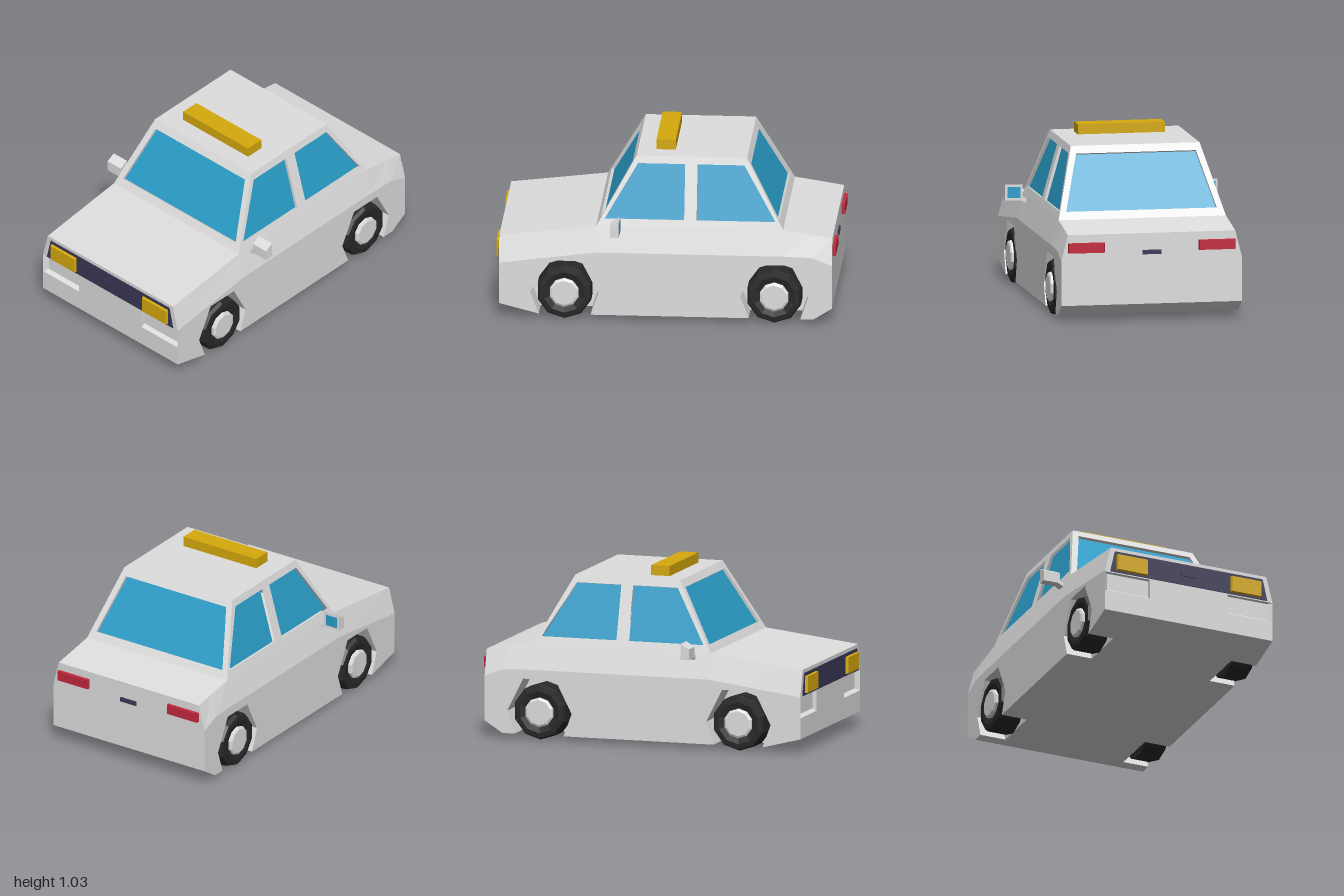
import * as THREE from 'three';

const mat = (name, color) => {
  const m = new THREE.MeshStandardMaterial({ color });
  m.name = name;
  return m;
};

export function createModel() {
  const car = new THREE.Group();
  car.name = 'car';
  const paint = mat('bodyPaint', 0xdedede);
  const glass = mat('glass', 0x2a9dc8);
  const yellow = mat('yellowLamp', 0xd6aa0d);
  const red = mat('redLamp', 0xc2283c);
  const navy = mat('darkTrim', 0x3a3756);
  const rubber = mat('tyreRubber', 0x282828);

  const add = (name, geo, material, parent = car) => {
    const g = geo.index ? geo.toNonIndexed() : geo;
    g.computeVertexNormals(); // faceted look
    const m = new THREE.Mesh(g, material);
    m.name = name;
    parent.add(m);
    return m;
  };
  const shapeOf = (pts) => new THREE.Shape(pts.map((p) => new THREE.Vector2(p[0], p[1])));
  const extrude = (shape, depth) => new THREE.ExtrudeGeometry(shape, { depth, bevelEnabled: false });
  // Extrudes a (z, y) profile from x0 to x1
  const sideExtrude = (pts, x0, x1) =>
    extrude(shapeOf(pts), x1 - x0).rotateY(-Math.PI / 2).translate(x1, 0, 0);
  // Box by its limits, front or back end optionally tapered
  const box = (x0, x1, y0, y1, z0, z1, taper = 1, end = 1) => {
    const g = new THREE.BoxGeometry(x1 - x0, y1 - y0, z1 - z0);
    const p = g.attributes.position;
    for (let i = 0; i < p.count; i++) {
      if (p.getZ(i) * end > 0) p.setXY(i, p.getX(i) * taper, p.getY(i) * taper);
    }
    return g.translate((x0 + x1) / 2, (y0 + y1) / 2, (z0 + z1) / 2);
  };
  const quads = (list) => {
    const v = [];
    for (const [a, b, c, d] of list) v.push(...a, ...b, ...c, ...a, ...c, ...d);
    const g = new THREE.BufferGeometry();
    g.setAttribute('position', new THREE.Float32BufferAttribute(v, 3));
    return g;
  };

  // Lower body: full-length core plus side slabs with wheel arches
  const axles = [0.595, -0.64];
  const arch = (c) => [[c + 0.15, 0.03], [c + 0.2, 0.165], [c + 0.1, 0.36],
    [c - 0.1, 0.36], [c - 0.2, 0.165], [c - 0.155, 0.03]];
  const nose = [[0.955, 0.343], [0.955, 0.23], [0.98, 0.215], [0.98, 0.09], [0.745, 0.03]];
  const tail = [[-0.87, 0.03], [-0.98, 0.1], [-0.98, 0.365], [-0.86, 0.41], [-0.69, 0.415], [0.41, 0.415]];
  add('lowerBodyCore', sideExtrude([...nose, ...tail], -0.38, 0.38), paint);
  const sideProfile = [...nose.slice(0, 4), ...arch(axles[0]), ...arch(axles[1]), ...tail];
  add('leftLowerSide', sideExtrude(sideProfile, 0.38, 0.54), paint);
  add('rightLowerSide', sideExtrude(sideProfile, -0.54, -0.38), paint);

  // Upper body: shoulder line lofted to the narrower belt line
  const sections = [[0.98, 0.34, 0.497], [0.41, 0.415, 0.565], [-0.69, 0.415, 0.565],
    [-0.86, 0.41, 0.539], [-0.98, 0.365, 0.52]];
  const ring = ([z, lo, hi]) => [[-0.54, lo, z], [0.54, lo, z], [0.5, hi, z], [-0.5, hi, z]];
  const rings = sections.map(ring);
  const faces = [rings[0]];
  for (let i = 0; i < rings.length - 1; i++) {
    const a = rings[i], b = rings[i + 1];
    for (let k = 1; k < 4; k++) {
      const n = (k + 1) % 4;
      faces.push([a[k], b[k], b[n], a[n]]);
    }
  }
  faces.push([...rings[4]].reverse());
  add('upperBody', quads(faces), paint);

  // Front bumper: raised centre between two corner pockets
  add('bumperCentre', box(-0.25, 0.25, 0.215, 0.34, 0.95, 0.98), paint);
  add('pocketTop', box(-0.54, 0.54, 0.335, 0.34, 0.95, 0.98), paint);
  for (const s of [1, -1]) {
    const lip = shapeOf([[0.54 * s, -0.95], [0.54 * s, -0.98], [0.515 * s, -0.955], [0.515 * s, -0.95]]);
    add('pocketLip', extrude(lip, 0.125).rotateX(-Math.PI / 2).translate(0, 0.215, 0), paint);
  }

  // Grille, handles and lamps
  const grille = shapeOf([[-0.505, 0.342], [0.505, 0.342], [0.475, 0.475], [-0.475, 0.475]]);
  add('grille', extrude(grille, 0.004).translate(0, 0, 0.98), navy);
  add('grilleBadgeBar', box(-0.056, 0.056, 0.398, 0.42, 0.98, 0.989), navy);
  add('bootHandle', box(-0.056, 0.056, 0.395, 0.42, -0.99, -0.98), navy);
  for (const s of [1, -1]) {
    const lamp = (name, x0, x1, y0, y1, z0, z1, t, m) =>
      add(name, box(Math.min(s * x0, s * x1), Math.max(s * x0, s * x1), y0, y1, z0, z1, t, Math.sign(z0)), m);
    lamp('headlight', 0.265, 0.468, 0.353, 0.457, 0.98, 1.0, 0.93, yellow);
    lamp('tailLight', 0.28, 0.5, 0.412, 0.472, -1.0, -0.98, 0.96, red);
  }

  // Cabin: four leaning frames with recessed glass, and the roof
  const belt = 0.565, roofY = 0.97, rise = roofY - belt, inset = 0.02;
  const frame = (name, origin, u, v, outline, windows) => {
    const U = new THREE.Vector3(...u), V = new THREE.Vector3(...v);
    const stretch = V.length() / rise;
    V.normalize();
    const m = new THREE.Matrix4().makeBasis(U, V, new THREE.Vector3().crossVectors(U, V))
      .setPosition(...origin);
    const local = (pts) => pts.map(([a, y]) => [a, (y - belt) * stretch]);
    const wall = shapeOf(local(outline));
    for (const w of windows) {
      wall.holes.push(shapeOf(local(w)));
      const pane = new THREE.ShapeGeometry(shapeOf(local(w)));
      add(name + 'Glass', pane.translate(0, 0, -inset * 0.85).applyMatrix4(m), glass);
    }
    add(name + 'Frame', extrude(wall, inset).translate(0, 0, -inset).applyMatrix4(m), paint);
  };
  const endWall = [[-0.5, belt], [0.5, belt], [0.385, roofY], [-0.385, roofY]];
  const endGlass = [[-0.45, 0.61], [0.45, 0.61], [0.358, 0.927], [-0.358, 0.927]];
  frame('windscreen', [0, belt, 0.41], [1, 0, 0], [0, rise, -0.23], endWall, [endGlass]);
  frame('rearWindow', [0, belt, -0.69], [-1, 0, 0], [0, rise, 0.22], endWall, [endGlass]);
  const sideWall = [[0.41, belt], [-0.69, belt], [-0.47, roofY], [0.18, roofY]];
  const sideGlass = [
    [[0.36, 0.61], [-0.107, 0.61], [-0.107, 0.927], [0.17, 0.927]],
    [[-0.18, 0.61], [-0.645, 0.61], [-0.455, 0.927], [-0.18, 0.927]],
  ];
  for (const s of [1, -1]) {
    const turn = (pts) => pts.map(([z, y]) => [-s * z, y]);
    frame(s > 0 ? 'leftSide' : 'rightSide', [s * 0.5, belt, 0], [0, 0, -s], [-s * 0.115, rise, 0],
      turn(sideWall), sideGlass.map(turn));
  }
  add('roof', quads([[[-0.385, roofY, 0.18], [0.385, roofY, 0.18],
    [0.385, roofY, -0.47], [-0.385, roofY, -0.47]]]), paint);
  add('roofSign', box(-0.26, 0.26, 0.97, 1.03, -0.042, 0.072), yellow);

  // Door mirrors
  const shell = [[0.268, 0.635], [0.32, 0.605], [0.32, 0.54], [0.268, 0.54]];
  for (const s of [1, -1]) {
    const mirror = new THREE.Group();
    mirror.name = s > 0 ? 'leftMirror' : 'rightMirror';
    const xs = [0.53 * s, 0.635 * s].sort((a, b) => a - b);
    add('mirrorShell', sideExtrude(shell, xs[0], xs[1]), paint, mirror);
    add('mirrorGlass', box(xs[0] + 0.014, xs[1] - 0.014, 0.555, 0.62, 0.264, 0.27), glass, mirror);
    const arm = shapeOf([[0.49 * s, 0.525], [0.515 * s, 0.525], [0.55 * s, 0.545], [0.535 * s, 0.56], [0.49 * s, 0.54]]);
    add('mirrorArm', extrude(arm, 0.05).translate(0, 0, 0.268), paint, mirror);
    car.add(mirror);
  }

  // Wheels: ten-sided tyres with a pale hub
  const tyre = [[0, -0.07], [0.165, -0.07], [0.165, 0.05], [0.155, 0.07], [0.125, 0.073], [0.085, 0.062]];
  const hub = [[0.088, 0.05], [0.088, 0.078], [0.075, 0.085], [0, 0.085]];
  const lathe = (pts) => new THREE.LatheGeometry(pts.map((p) => new THREE.Vector2(...p)), 10, Math.PI / 10);
  for (const z of axles) {
    for (const s of [1, -1]) {
      const wheel = new THREE.Group();
      wheel.name = (z > 0 ? 'front' : 'rear') + (s > 0 ? 'Left' : 'Right') + 'Wheel';
      add('tyre', lathe(tyre), rubber, wheel);
      add('hub', lathe(hub), paint, wheel);
      wheel.rotation.z = -s * Math.PI / 2;
      wheel.position.set(s * 0.47, 0.165, z);
      car.add(wheel);
    }
  }
  return car;
}
